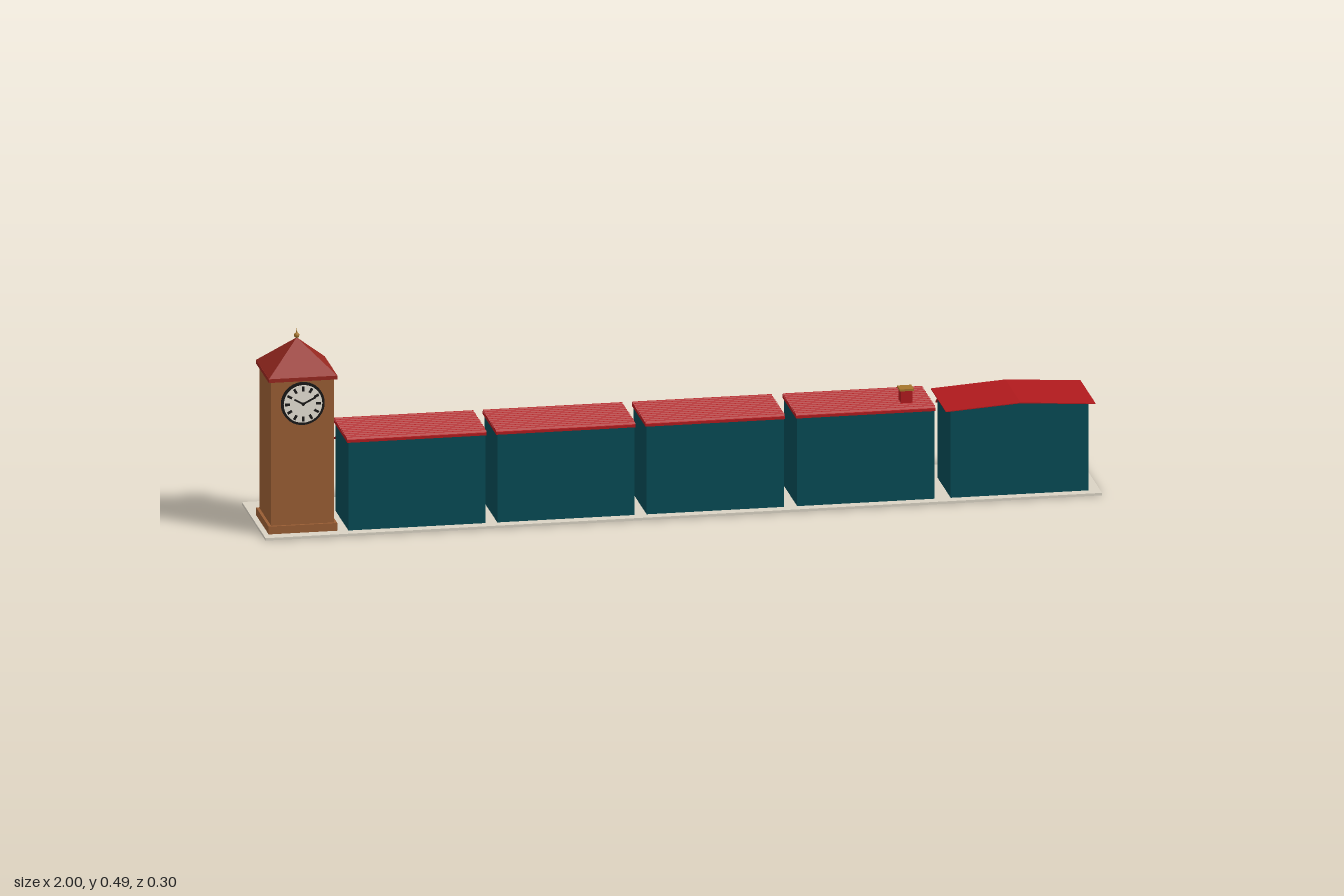
import * as THREE from 'three';

const mat = (name, color) => Object.assign(new THREE.MeshStandardMaterial({ color }), { name });

export function createModel() {
  const teal = mat('tealWall', 0x044a54), red = mat('red', 0xb01a1d), tile = mat('towerRoofRed', 0x96271f);
  const stone = mat('paleStone', 0xd9d2c3), amber = mat('amberGlass', 0xd08a38), brass = mat('brass', 0xa5752c);
  const wood = mat('darkWood', 0x55371a), brown = mat('towerBrown', 0x995d34);
  const black = mat('black', 0x181717), white = mat('white', 0xf2ece0);
  const root = new THREE.Group();

  const add = (name, geo, m, x = 0, y = 0, z = 0, parent = root) => {
    const mesh = new THREE.Mesh(geo, m);
    mesh.name = name;
    mesh.position.set(x, y, z);
    parent.add(mesh);
    return mesh;
  };
  // box given by its x centre, bottom y, z centre
  const box = (name, m, x, y, z, w, h, d, parent) =>
    add(name, new THREE.BoxGeometry(w, h, d), m, x, y + h / 2, z, parent);
  const extrude = (shape, depth, curveSegments = 10) =>
    new THREE.ExtrudeGeometry(shape, { depth, bevelEnabled: false, curveSegments });

  // arched outline, and a plate of it standing out from the wall at z towards -z
  const outline = (path, w, y, h, rise) => {
    path.moveTo(-w / 2, y);
    path.lineTo(w / 2, y);
    path.lineTo(w / 2, h - rise);
    path.absellipse(0, h - rise, w / 2, rise, 0, Math.PI, false, 0);
    path.closePath();
    return path;
  };
  const arch = (name, m, x, y, z, w, h, rise, d, parent, border, foot) => {
    const s = outline(new THREE.Shape(), w, 0, h, rise);
    if (border) s.holes.push(outline(new THREE.Path(), w - 2 * border, foot, h - border, rise - border));
    return add(name, extrude(s, d), m, x, y, z - d, parent);
  };
  const archWindow = (x, y, z, w, h, rise, columns = 2) => {
    const g = new THREE.Group();
    g.name = 'window';
    root.add(g);
    arch('windowFrame', brass, x, y, z, w, h, rise, 0.006, g, 0.005, 0.005);
    arch('windowPane', amber, x, y + 0.002, z, w - 0.004, h - 0.004, rise - 0.002, 0.003, g);
    for (let i = 1; i < columns; i++)
      box('mullion', brass, x - w / 2 + (w * i) / columns, y + 0.004, z - 0.003, 0.003, h - rise * 0.5 - 0.004, 0.005, g);
    box('transom', brass, x, y + h - rise - 0.003, z - 0.003, w - 0.006, 0.003, 0.005, g);
    box('sill', brass, x, y - 0.004, z - 0.0035, w + 0.006, 0.005, 0.007, g);
  };
  const archDoor = (x, y, z, w, h, rise) => {
    const g = new THREE.Group();
    g.name = 'door';
    root.add(g);
    arch('doorFrame', brass, x, y, z, w, h, rise, 0.006, g, 0.005, 0.001);
    arch('doorLeaf', wood, x, y, z, w - 0.004, h - 0.002, rise - 0.002, 0.004, g);
    add('doorKnob', new THREE.SphereGeometry(0.004, 10, 8), brass, x - w * 0.32, y + h * 0.54, z - 0.008, g);
  };
  // striped awning sloping down from the wall towards -z
  const awning = (x0, x1, yTop, drop, reach, count, scallop) => {
    const g = new THREE.Group(), w = (x1 - x0) / count, len = Math.hypot(drop, reach);
    g.name = 'awning';
    g.position.set(x0, yTop, -0.043);
    g.rotation.x = Math.atan2(reach, drop);
    for (let i = 0; i < count; i++) {
      const s = new THREE.Shape();
      s.moveTo(w, 0);
      s.lineTo(0, 0);
      s.lineTo(0, -len + scallop);
      s.absellipse(w / 2, -len + scallop, w / 2, scallop, Math.PI, Math.PI * 2, false, 0);
      s.closePath();
      add('awningStripe', extrude(s, 0.003, 6), i % 2 ? white : red, i * w, 0, 0, g);
    }
    root.add(g);
  };

  box('pavement', stone, 0, 0, 0, 2, 0.006, 0.3);

  // clock tower
  const tx = -0.905, tz = 0.041;
  box('towerWalls', brown, tx, 0.006, tz, 0.15, 0.372, 0.148);
  box('towerPlinth', brown, tx, 0.006, tz, 0.164, 0.019, 0.16);
  box('towerEave', tile, tx, 0.378, tz, 0.164, 0.009, 0.164);
  const pyramid = new THREE.ConeGeometry(0.164 / Math.SQRT2, 0.075, 4, 1).toNonIndexed();
  pyramid.rotateY(Math.PI / 4);
  pyramid.computeVertexNormals();
  add('towerRoof', pyramid, tile, tx, 0.424, tz);
  add('finialBall', new THREE.SphereGeometry(0.0065, 12, 8), brass, tx, 0.467, tz);
  add('finialSpike', new THREE.ConeGeometry(0.002, 0.016, 8), brass, tx, 0.478, tz);
  for (const side of [1, -1]) {
    const c = new THREE.Group();
    c.name = 'clock';
    c.position.set(tx, 0.322, tz + side * 0.074);
    c.rotation.y = side > 0 ? 0 : Math.PI;
    root.add(c);
    const disc = (r, d) => new THREE.CylinderGeometry(r, r, d, 40).rotateX(Math.PI / 2);
    add('clockCase', disc(0.052, 0.006), black, 0, 0, 0.003, c);
    add('clockFace', disc(0.046, 0.003), white, 0, 0, 0.006, c);
    for (let i = 0; i < 12; i++) {
      const a = (i * Math.PI) / 6;
      const tick = add('hourMark', new THREE.BoxGeometry(0.006, 0.012, 0.002), black,
        Math.sin(a) * 0.037, Math.cos(a) * 0.037, 0.008, c);
      tick.rotation.z = -a;
    }
    for (const [len, a] of [[0.024, -1.05], [0.033, 1.1]]) {
      const hand = add('clockHand', new THREE.BoxGeometry(0.004, len, 0.002), black,
        Math.sin(a) * len / 2, Math.cos(a) * len / 2, 0.0085, c);
      hand.rotation.z = -a;
    }
    add('clockHub', disc(0.004, 0.003), black, 0, 0, 0.0085, c);
  }
  const tw = tz - 0.074;
  archDoor(tx, 0.025, tw, 0.07, 0.1, 0.035);
  archWindow(tx, 0.142, tw, 0.05, 0.05, 0.022);
  archWindow(tx, 0.21, tw, 0.05, 0.05, 0.022);

  // corrugated roof profile, running along x
  const rib = new THREE.Shape();
  rib.moveTo(-0.124, 0);
  for (let i = 0; i <= 96; i++)
    rib.lineTo(-0.124 + (0.174 * i) / 96, 0.0095 - 0.003 * Math.cos((i * Math.PI) / 4));
  rib.lineTo(0.05, 0);
  rib.closePath();
  const ribGeo = extrude(rib, 0.333).rotateY(Math.PI / 2);

  // four flat-roofed shops
  const wall = -0.041;
  const shops = [-0.633, -0.277, 0.08, 0.44];
  shops.forEach((cx, i) => {
    box('shopWalls', teal, cx, 0.006, 0.0415, 0.328, 0.215, 0.165);
    add('ribbedRoof', ribGeo, red, cx - 0.1665, 0.221, 0);
    if (i < 3) {
      box('signBoard', stone, cx, 0.199, wall - 0.002, 0.16, 0.019, 0.006);
      awning(cx - 0.152, cx + 0.152, 0.195, 0.037, i ? 0.092 : 0.086, 9, i ? 0.014 : 0.004);
    }
  });
  // shop next to the tower
  archDoor(-0.575, 0.006, wall, 0.09, 0.145, 0.04);
  archWindow(-0.725, 0.03, wall, 0.11, 0.125, 0.05, 3);
  // shop with a middle door
  archDoor(-0.277, 0.006, wall, 0.09, 0.145, 0.04);
  for (const s of [-1, 1]) archWindow(-0.277 + s * 0.106, 0.04, wall, 0.082, 0.11, 0.04);
  // shop with a wide window
  archDoor(0.19, 0.006, wall, 0.09, 0.145, 0.04);
  archWindow(0.015, 0.02, wall, 0.14, 0.135, 0.065, 4);
  // shop with upper windows and a chimney
  archDoor(0.35, 0.006, wall, 0.09, 0.15, 0.045);
  archWindow(0.53, 0.02, wall, 0.135, 0.12, 0.06, 4);
  for (const x of [0.525, 0.365]) archWindow(x, 0.168, wall, 0.055, 0.044, 0.01);
  awning(0.45, 0.604, 0.158, 0.033, 0.088, 5, 0.014);
  const round = (name, r, d, m, x, y) =>
    add(name, new THREE.CylinderGeometry(r, r, d, 24).rotateX(Math.PI / 2), m, x, y, wall - d / 2);
  round('medallionRim', 0.016, 0.004, brass, 0.445, 0.182);
  round('medallion', 0.013, 0.006, white, 0.445, 0.182);
  box('chimney', red, 0.546, 0.225, 0.066, 0.028, 0.037, 0.027);
  box('chimneyCap', brass, 0.546, 0.261, 0.066, 0.034, 0.005, 0.034);

  // gabled end shop
  const gx = 0.808;
  const profile = (points) => new THREE.Shape(points.map(([x, y]) => new THREE.Vector2(x, y)));
  const gable = profile([[-0.165, 0.006], [0.165, 0.006], [0.165, 0.2215], [0, 0.2325], [-0.165, 0.2215]]);
  add('gabledWalls', extrude(gable, 0.165), teal, gx, 0, wall);
  const sheet = profile([[-0.179, 0.2205], [0, 0.2325], [0.179, 0.2205], [0.179, 0.2225], [0, 0.2345], [-0.179, 0.2225]]);
  add('gabledRoof', extrude(sheet, 0.192), red, gx, 0, -0.055);
  archDoor(0.82, 0.006, wall, 0.09, 0.15, 0.045);
  archWindow(0.712, 0.05, wall, 0.075, 0.105, 0.036);
  awning(0.647, 0.78, 0.208, 0.03, 0.052, 11, 0.003);
  round('roundSign', 0.014, 0.005, brass, 0.82, 0.192);
  box('noticeFrame', brass, 0.905, 0.076, wall - 0.0015, 0.056, 0.096, 0.003);
  box('noticePanel', stone, 0.905, 0.08, wall - 0.003, 0.048, 0.088, 0.006);

  return root;
}
